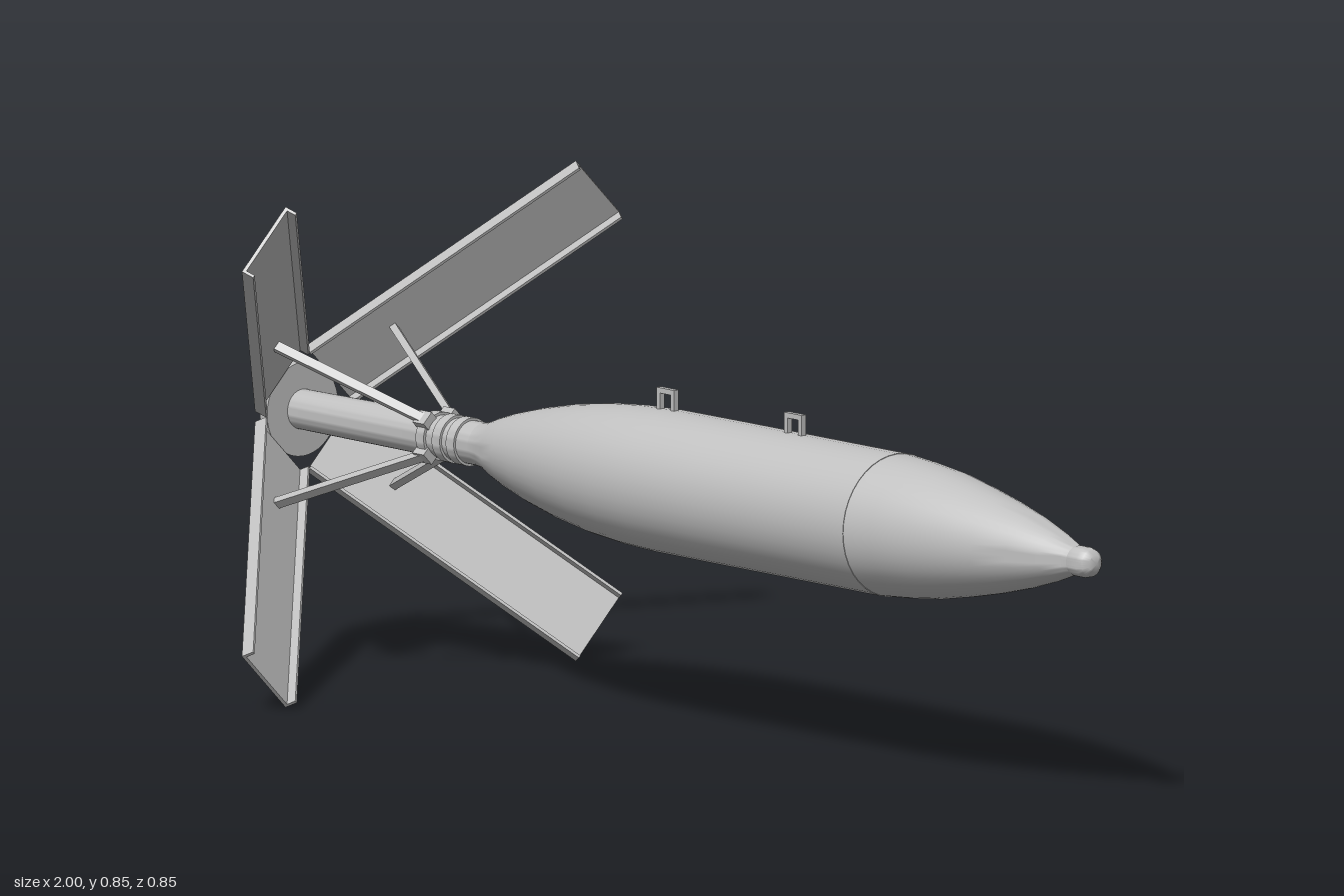
import * as THREE from 'three';
import { toCreasedNormals } from 'three/addons/utils/BufferGeometryUtils.js';

const grey = new THREE.MeshStandardMaterial({ color: 0xc0c0c0 });
grey.name = 'plain grey';

function add(parent, name, geometry, x = 0, y = 0, z = 0) {
  const mesh = new THREE.Mesh(geometry, grey);
  mesh.name = name;
  mesh.position.set(x, y, z);
  parent.add(mesh);
  return mesh;
}

// Turned part along the x axis from [x, radius] pairs
function turned(parent, name, profile) {
  const points = profile.map(([x, r]) => new THREE.Vector2(r, x));
  const geometry = new THREE.LatheGeometry(points, 40).rotateZ(-Math.PI / 2);
  return add(parent, name, toCreasedNormals(geometry, 0.6));
}

// Square carrying loop standing on the body
function addLug(parent, x) {
  const shape = new THREE.Shape();
  shape.moveTo(-0.022, 0);
  shape.lineTo(0.022, 0);
  shape.lineTo(0.022, 0.045);
  shape.lineTo(-0.022, 0.045);
  const hole = new THREE.Path();
  hole.moveTo(-0.013, 0.008);
  hole.lineTo(-0.013, 0.036);
  hole.lineTo(0.013, 0.036);
  hole.lineTo(0.013, 0.008);
  shape.holes.push(hole);
  const geometry = new THREE.ExtrudeGeometry(shape, { depth: 0.01, bevelEnabled: false });
  add(parent, 'lug', geometry, x, 0.111, -0.005);
}

// Channel-section fin with its brace, pointing along +y
function makeFin() {
  const unit = new THREE.Group();
  unit.name = 'finUnit';
  const fin = new THREE.Group();
  fin.name = 'fin';
  fin.position.set(-0.98, 0.08, 0);
  fin.rotation.z = -Math.atan2(0.32, 0.45);
  unit.add(fin);
  const length = 0.552;
  add(fin, 'finPlate', new THREE.BoxGeometry(0.006, length, 0.138), 0, length / 2, 0);
  for (const side of [-1, 1]) {
    add(fin, 'finFlange', new THREE.BoxGeometry(0.022, length, 0.005), 0.008, length / 2, side * 0.067);
  }

  // Brace from the collar to the fin
  const from = new THREE.Vector2(-0.64, 0.04);
  const to = new THREE.Vector2(-0.9, 0.188);
  const d = to.clone().sub(from);
  const brace = add(unit, 'brace', new THREE.BoxGeometry(0.012, d.length(), 0.016),
    (from.x + to.x) / 2, (from.y + to.y) / 2, 0);
  brace.rotation.z = Math.atan2(d.y, d.x) - Math.PI / 2;
  add(unit, 'braceHinge', new THREE.BoxGeometry(0.028, 0.016, 0.026), -0.645, 0.042, 0);
  return unit;
}

export function createModel() {
  const model = new THREE.Group();
  const body = new THREE.Group();
  body.name = 'body';
  body.position.y = 0.428;
  model.add(body);

  // Main casing
  turned(body, 'casing', [
    [-0.53, 0], [-0.53, 0.037], [-0.51, 0.041], [-0.48, 0.053], [-0.44, 0.066],
    [-0.38, 0.082], [-0.3, 0.099], [-0.22, 0.111], [-0.14, 0.118], [-0.06, 0.121],
    [0.1, 0.1215], [0.5, 0.1215], [0.5, 0],
  ]);
  // Nose cone and rounded tip
  turned(body, 'noseCone', [
    [0.5, 0.1205], [0.56, 0.116], [0.63, 0.108], [0.7, 0.095], [0.77, 0.08],
    [0.84, 0.062], [0.9, 0.043], [0.94, 0.028], [0.95, 0.025],
  ]);
  turned(body, 'noseTip', [
    [0.945, 0.024], [0.955, 0.026], [0.975, 0.026], [0.987, 0.023], [0.996, 0.014], [1, 0],
  ]);

  // Tail tube with its collars
  turned(body, 'tailTube', [[-0.985, 0], [-0.985, 0.034], [-0.52, 0.037], [-0.52, 0]]);
  for (const x of [-0.645, -0.605, -0.57]) {
    turned(body, 'collar', [[x - 0.01, 0.03], [x - 0.01, 0.041], [x + 0.01, 0.041], [x + 0.01, 0.03]]);
  }

  // Tail disc with a recessed centre
  turned(body, 'tailDisc', [
    [-0.994, 0], [-0.994, 0.058], [-1, 0.062], [-1, 0.08], [-0.982, 0.08], [-0.982, 0],
  ]);

  for (const x of [-0.072, 0.246]) addLug(body, x);

  // Four spread fins
  for (let i = 0; i < 4; i++) {
    const fin = makeFin();
    fin.rotation.x = Math.PI / 4 + i * Math.PI / 2;
    body.add(fin);
  }
  return model;
}
